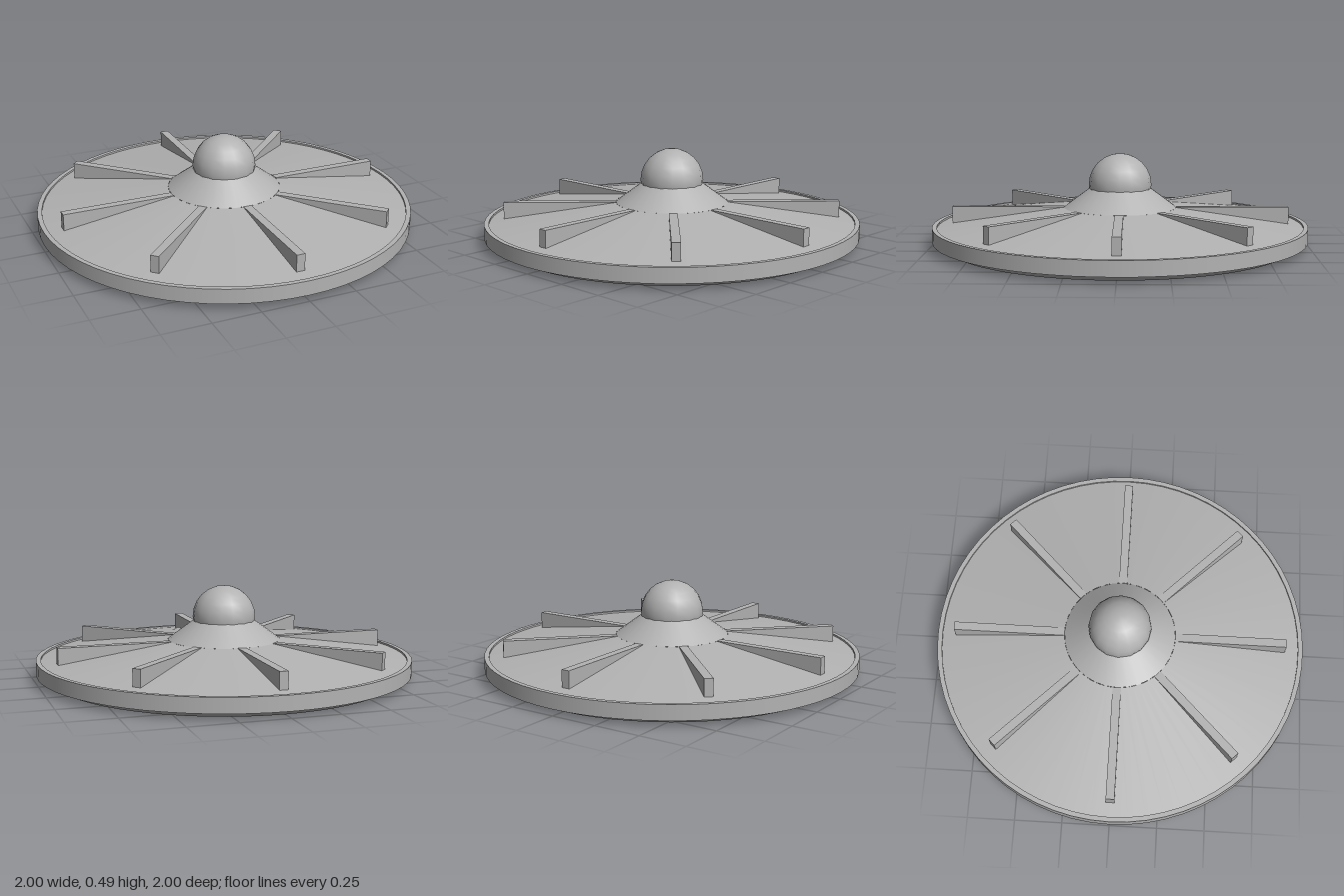
import * as THREE from 'three';
import { mergeGeometries } from 'three/addons/utils/BufferGeometryUtils.js';

const SEGMENTS = 64;

// Revolves a profile with a sharp edge at every profile point
function revolve(profile, segments = SEGMENTS) {
  const bands = [];
  for (let i = 0; i < profile.length - 1; i++) {
    const pair = [profile[i], profile[i + 1]].map(([r, y]) => new THREE.Vector2(r, y));
    bands.push(new THREE.LatheGeometry(pair, segments));
  }
  return mergeGeometries(bands);
}

export function createModel() {
  const group = new THREE.Group();
  const grey = new THREE.MeshStandardMaterial({ color: 0xb2b2b2 });
  grey.name = 'hull grey';

  const add = (name, geometry, parent = group) => {
    const mesh = new THREE.Mesh(geometry, grey);
    mesh.name = name;
    parent.add(mesh);
    return mesh;
  };

  // Flat underside with its bevel, and the shallow cone on top
  add('underside', revolve([[0, 0], [0.92, 0], [0.97, 0.035]]));
  add('upperHull', revolve([[0.975, 0.1], [0.3, 0.198]]));

  // Raised outer rim
  add('rim', revolve([[0.965, 0.033], [1, 0.033], [1, 0.11], [0.975, 0.11], [0.975, 0.095]]));

  // Steep collar and the dome that sits in it
  add('collar', revolve([[0.3, 0.198], [0.16, 0.302], [0, 0.302]], 32));
  const dome = add('dome', new THREE.SphereGeometry(0.168, 16, 12));
  dome.position.y = 0.318;

  // Eight wedge fins, level on top, following the hull slope below
  const width = 0.045;
  const side = new THREE.Shape([
    new THREE.Vector2(0.3, 0.193),
    new THREE.Vector2(0.9, 0.104),
    new THREE.Vector2(0.9, 0.2),
    new THREE.Vector2(0.3, 0.2),
  ]);
  const finGeometry = new THREE.ExtrudeGeometry(side, { depth: width, bevelEnabled: false });
  finGeometry.translate(0, 0, -width / 2);
  const fins = new THREE.Group();
  fins.name = 'fins';
  group.add(fins);
  for (let i = 0; i < 8; i++) {
    add('fin', finGeometry, fins).rotation.y = (i * Math.PI) / 4;
  }

  return group;
}
